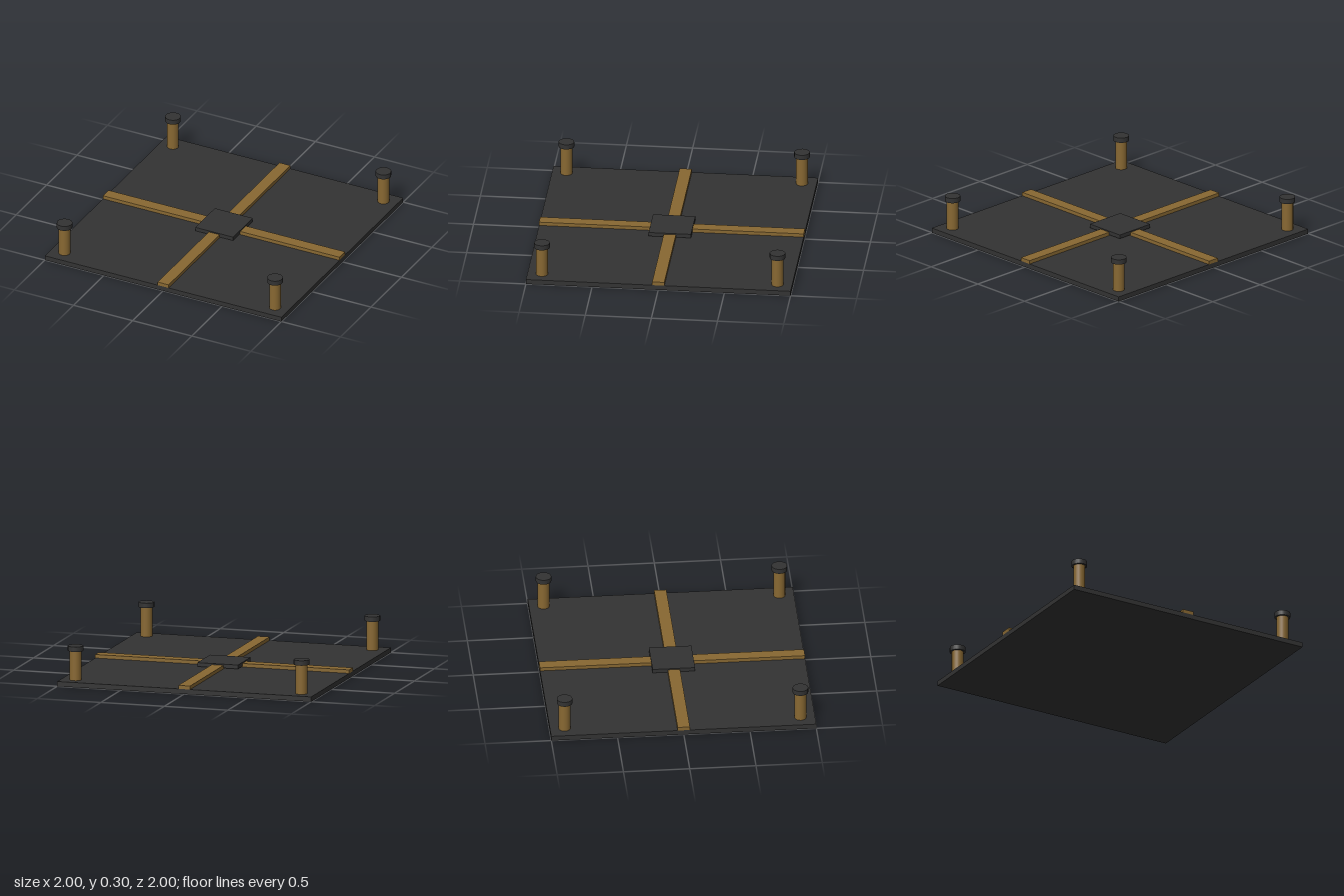
import * as THREE from 'three';

export function createModel() {
  const model = new THREE.Group();
  const charcoal = new THREE.MeshStandardMaterial({ color: 0x333333 });
  charcoal.name = 'charcoal';
  const bronze = new THREE.MeshStandardMaterial({ color: 0x886832 });
  bronze.name = 'bronze';

  // Adds a part whose underside sits at the given height
  function add(name, geometry, material, x, bottom, z, height, parent = model) {
    const mesh = new THREE.Mesh(geometry, material);
    mesh.name = name;
    mesh.position.set(x, bottom + height / 2, z);
    parent.add(mesh);
  }
  const box = (name, w, h, d, material, bottom) =>
    add(name, new THREE.BoxGeometry(w, h, d), material, 0, bottom, 0, h);

  // Floor slab, crossing strips and raised centre plate
  box('floorSlab', 2, 0.037, 2, charcoal, 0);
  box('stripAcross', 2, 0.027, 0.092, bronze, 0.037);
  box('stripAlong', 0.092, 0.027, 2, bronze, 0.037);
  box('centrePlate', 0.32, 0.03, 0.32, charcoal, 0.043);

  // Capped corner posts
  const postGeometry = new THREE.CylinderGeometry(0.044, 0.044, 0.223, 20);
  const capGeometry = new THREE.CylinderGeometry(0.059, 0.059, 0.038, 20);
  for (const x of [-0.89, 0.89]) {
    for (const z of [-0.89, 0.89]) {
      const corner = new THREE.Group();
      corner.name = 'cornerPost';
      corner.position.set(x, 0, z);
      add('post', postGeometry, bronze, 0, 0.037, 0, 0.223, corner);
      add('postCap', capGeometry, charcoal, 0, 0.26, 0, 0.038, corner);
      model.add(corner);
    }
  }
  return model;
}
